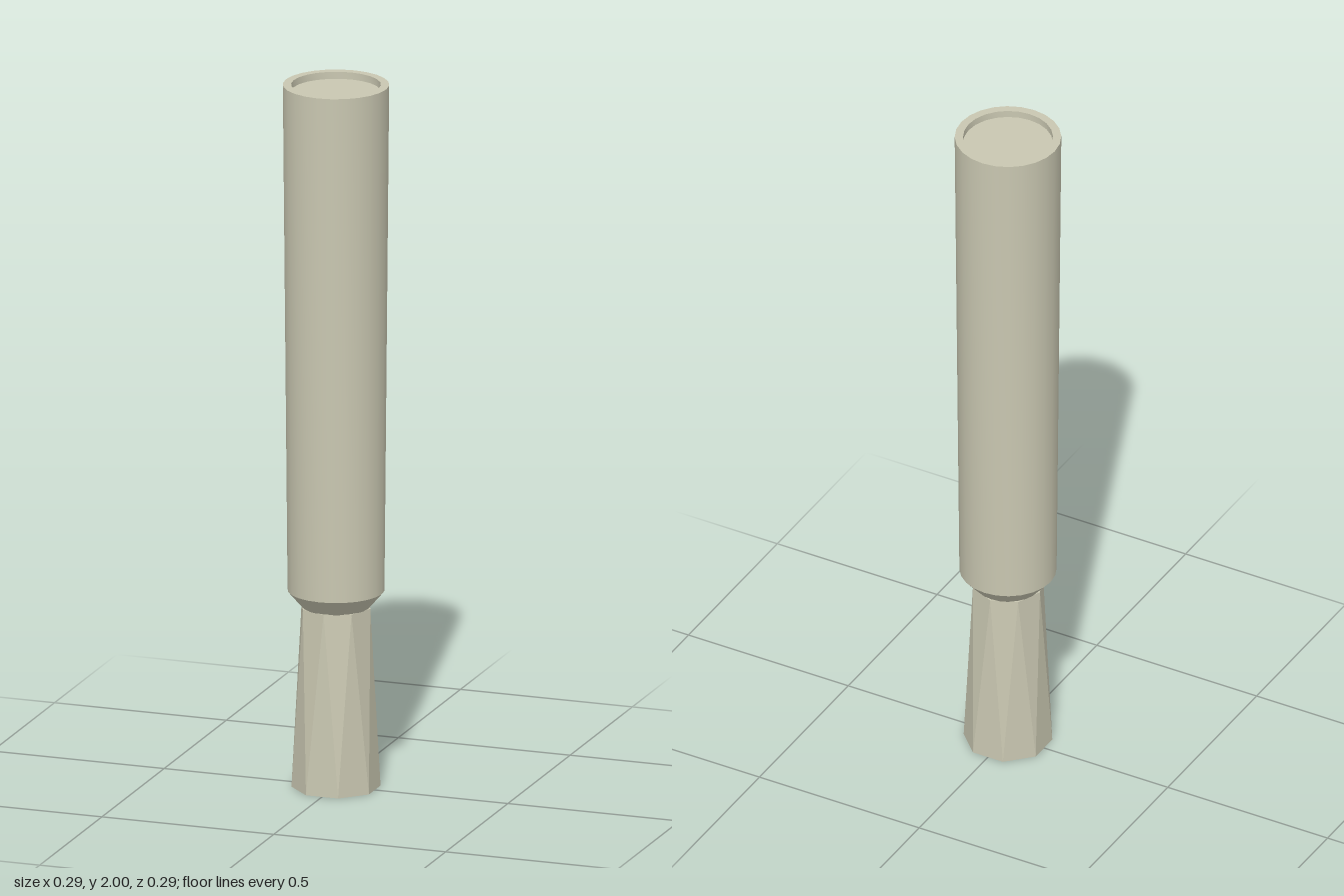
import * as THREE from 'three';
import { toCreasedNormals } from 'three/addons/utils/BufferGeometryUtils.js';

const SIDES = 24;
const material = new THREE.MeshStandardMaterial({ color: 0xc9c7b1 });
const flatMaterial = new THREE.MeshStandardMaterial({ color: 0xc9c7b1, flatShading: true });

function addMesh(group, name, geometry, mat = material) {
  const mesh = new THREE.Mesh(geometry, mat);
  mesh.name = name;
  group.add(mesh);
}

function lathe(profile) {
  const points = profile.map(([r, y]) => new THREE.Vector2(r, y));
  return toCreasedNormals(new THREE.LatheGeometry(points, SIDES), Math.PI / 6);
}

// Point on an octagon; step 1 is one eighth of a turn
function corner(radius, y, step) {
  const a = step * Math.PI / 4;
  return [radius * Math.sin(a), y, radius * Math.cos(a)];
}

// Octagon twisted by half a side from bottom to top, with a closed top
function twistedOctagon(bottomRadius, topRadius, height) {
  const positions = [];
  for (let i = 0; i < 8; i++) {
    const b0 = corner(bottomRadius, 0, i - 0.5);
    const b1 = corner(bottomRadius, 0, i + 0.5);
    const t0 = corner(topRadius, height, i);
    const t1 = corner(topRadius, height, i + 1);
    positions.push(...b0, ...b1, ...t0, ...b1, ...t1, ...t0, ...t0, ...t1, 0, height, 0);
  }
  const geometry = new THREE.BufferGeometry();
  geometry.setAttribute('position', new THREE.Float32BufferAttribute(positions, 3));
  geometry.computeVertexNormals();
  return geometry;
}

export function createModel() {
  const group = new THREE.Group();

  // Tapered round body with bevelled neck and shallow recess in the top
  addMesh(group, 'body', lathe([
    [0, 0.51], [0.09, 0.51], [0.133, 0.56], [0.146, 2],
    [0.123, 2], [0.123, 1.98], [0, 1.98],
  ]));

  // Faceted foot
  const footRadius = 0.122;
  addMesh(group, 'foot', twistedOctagon(footRadius, 0.1, 0.515), flatMaterial);

  // Underside rim: octagon with a round hole
  const rim = new THREE.Shape();
  for (let i = 0; i < 8; i++) {
    const [x, , z] = corner(footRadius, 0, i + 0.5);
    if (i === 0) rim.moveTo(x, z);
    else rim.lineTo(x, z);
  }
  rim.closePath();
  rim.holes.push(new THREE.Path().absarc(0, 0, 0.104, 0, Math.PI * 2, false));
  addMesh(group, 'footRim', new THREE.ShapeGeometry(rim, SIDES / 2).rotateX(Math.PI / 2));

  // Recess in the underside
  addMesh(group, 'footRecess', lathe([[0, 0.02], [0.104, 0.02], [0.104, 0]]));

  return group;
}
